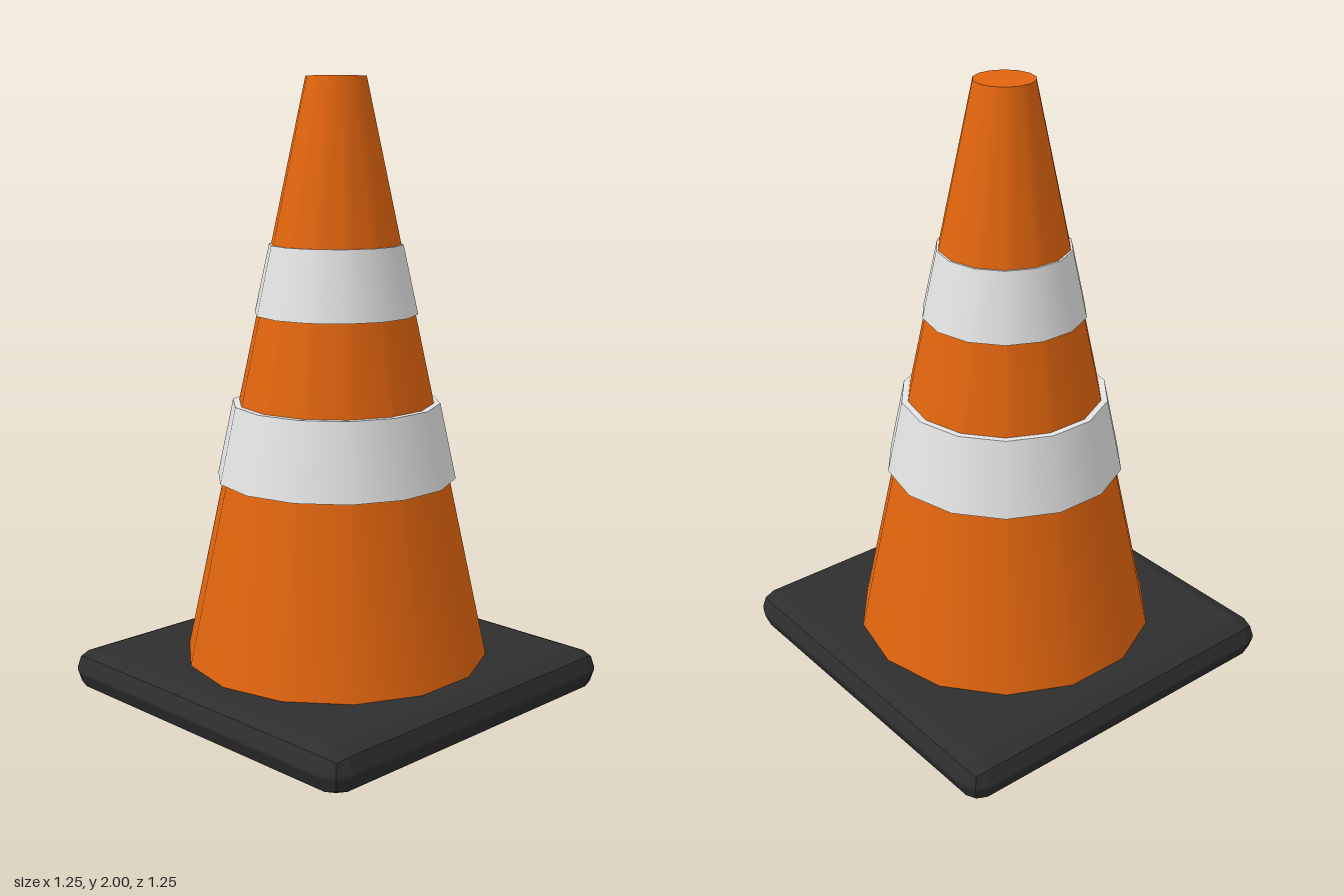
import * as THREE from 'three';
import { RoundedBoxGeometry } from 'three/addons/geometries/RoundedBoxGeometry.js';

const SIDES = 14;

function material(name, color) {
  const m = new THREE.MeshStandardMaterial({ color });
  m.name = name;
  return m;
}

export function createModel() {
  const group = new THREE.Group();
  group.name = 'trafficCone';
  const orange = material('orange', 0xe2650e);
  const white = material('white', 0xe4e4e4);
  const black = material('black', 0x2e2e2e);

  // Tapered ring or cone standing between two heights
  function taper(name, y0, y1, r0, r1, mat) {
    const mesh = new THREE.Mesh(new THREE.CylinderGeometry(r1, r0, y1 - y0, SIDES), mat);
    mesh.name = name;
    mesh.position.y = (y0 + y1) / 2;
    group.add(mesh);
  }

  // Square base with a two-step bevel, faceted
  const baseGeometry = new RoundedBoxGeometry(1.254, 0.14, 1.254, 1, 0.066);
  baseGeometry.computeVertexNormals();
  const base = new THREE.Mesh(baseGeometry, black);
  base.name = 'base';
  base.position.y = 0.07;
  group.add(base);

  // Cone body and its two reflective collars
  taper('cone', 0.135, 2, 0.495, 0.096, orange);
  taper('lowerBand', 0.73, 0.975, 0.388, 0.336, white);
  taper('upperBand', 1.26, 1.48, 0.262, 0.214, white);

  return group;
}
